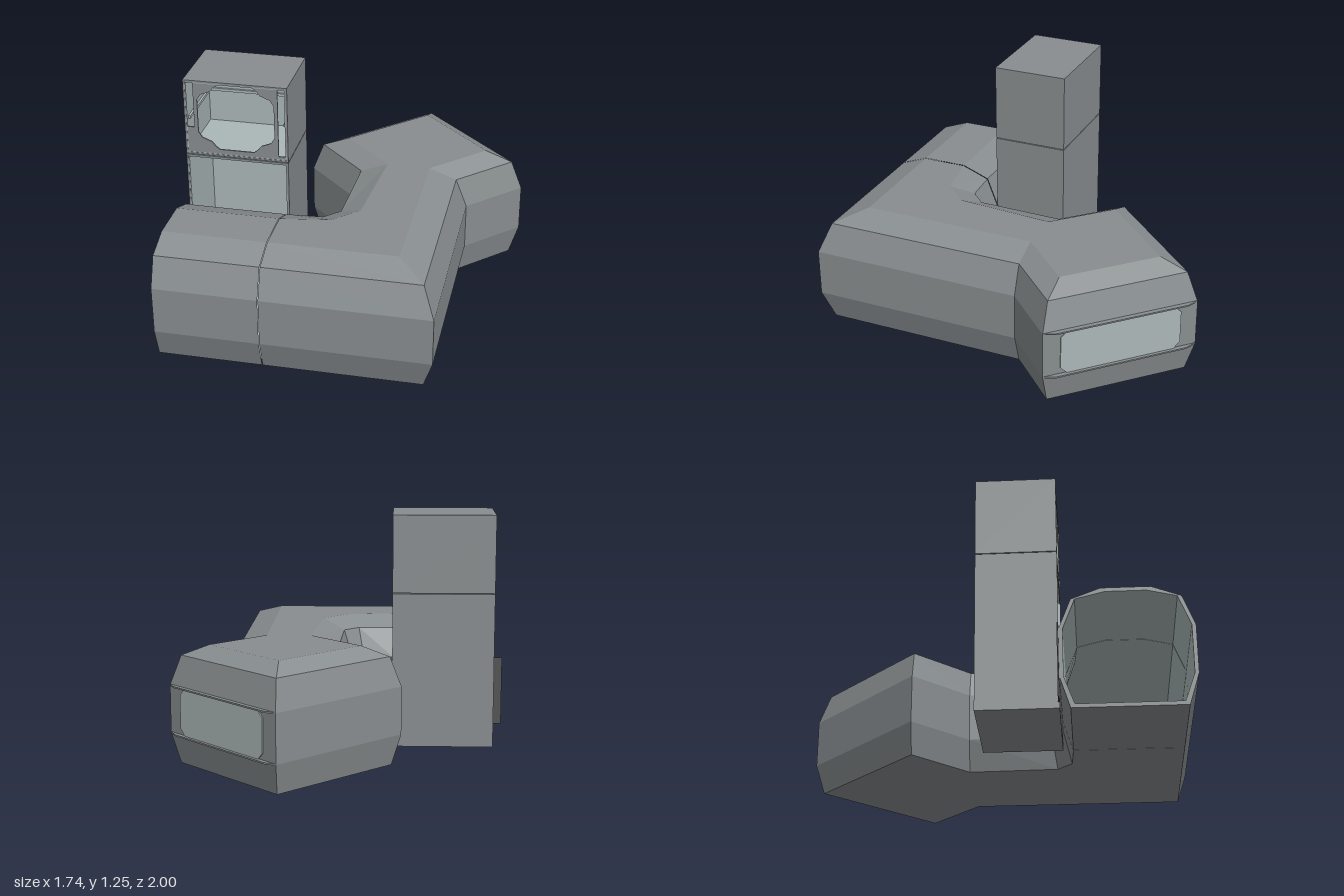
import * as THREE from 'three';

const mat = (name, color) => Object.assign(new THREE.MeshStandardMaterial({ color }), { name });

export function createModel() {
  const hull = mat('hull grey', 0x888d8f);
  const lining = mat('pale lining', 0xabb7b7);
  const dark = mat('dark panel', 0x545353);
  const root = new THREE.Group();
  root.name = 'corridorModule';

  const add = (parent, name, geometry, material, x = 0, y = 0, z = 0) => {
    const mesh = new THREE.Mesh(geometry, material);
    mesh.name = name;
    mesh.position.set(x, y, z);
    parent.add(mesh);
    return mesh;
  };
  const box = (parent, name, [w, h, d], [x, y, z], material) =>
    add(parent, name, new THREE.BoxGeometry(w, h, d), material, x, y, z);

  // Half profile of the corridor: inset from the side, height
  const PROFILE = [[0.05, 0], [0, 0.16], [0, 0.41], [0.06, 0.565], [0.205, 0.62]];

  // Cross-section between two plan points, each [x, z, inward x, inward z]
  const section = (a, b, t = 0) => {
    const side = ([x, z, dx, dz]) => PROFILE.map(([inset, h]) => new THREE.Vector3(
      x + dx * (inset + t), h === 0 ? t : h === 0.62 ? h - t : h, z + dz * (inset + t)));
    return [...side(a), ...side(b).reverse()];
  };

  // Flat-faced skin through closed sections
  const loft = (sections) => {
    const out = [];
    const tri = (a, b, c) => {
      const n = b.clone().sub(a).cross(c.clone().sub(a));
      if (n.length() > 1e-7) [a, b, c].forEach((p) => out.push(p.x, p.y, p.z));
    };
    for (let s = 0; s < sections.length - 1; s++) {
      const p = sections[s], q = sections[s + 1];
      for (let i = 0; i < p.length; i++) {
        const j = (i + 1) % p.length;
        tri(p[i], p[j], q[j]);
        tri(p[i], q[j], q[i]);
      }
    }
    const g = new THREE.BufferGeometry();
    g.setAttribute('position', new THREE.Float32BufferAttribute(out, 3));
    g.computeVertexNormals();
    return g;
  };

  const corridor = (name, stations) => {
    const g = new THREE.Group();
    g.name = name;
    const outer = stations.map(([a, b]) => section(a, b));
    const inner = stations.map(([a, b]) => section(a, b, 0.02));
    add(g, name + 'Shell', loft(outer), hull);
    add(g, name + 'Lining', loft(inner.slice().reverse()), lining);
    add(g, name + 'Rim', loft([inner[0], outer[0]]), hull);
    root.add(g);
  };

  const across = (x) => [[x, 0.35, 0, 1], [x, 1, 0, -1]];
  corridor('straightCorridor', [across(-0.8), across(-0.263)]);

  // Bend with a cut inner corner, then the neck and diamond-shaped end room
  const outerCorner = [0.6, 1, -1, -1];
  corridor('bendAndEndRoom', [
    across(-0.26),
    [[-0.1, 0.35, 0.48, 0.8], outerCorner],
    [[-0.04, 0.29, 0.8, 0.48], outerCorner],
    [[-0.04, -0.14, 1, 0], [0.6, -0.14, -1, 0]],
    [[-0.31, -0.41, 1, 0], [0.87, -0.41, -1, 0]],
    [[0.28, -1, 0, 1], [0.28, -1, 0, 1]],
  ]);

  const shapeOf = (pts) => new THREE.Shape(pts.map(([x, y]) => new THREE.Vector2(x, y)));
  const extrude = (shape, depth) => new THREE.ExtrudeGeometry(shape, { depth, bevelEnabled: false });

  // Window on the slanted back wall of the end room
  const win = new THREE.Group();
  win.name = 'endRoomWindow';
  win.position.set(0.575, 0.285, -0.705);
  win.rotation.y = Math.PI * 0.75;
  root.add(win);
  const w = 0.325, h = 0.122, c = 0.035;
  add(win, 'windowPane', extrude(shapeOf([[-w, -h + c], [-w + c, -h], [w - c, -h], [w, -h + c],
    [w, h - c], [w - c, h], [-w + c, h], [-w, h - c]]), 0.006), lining, 0, 0, 0.001);
  for (const y of [-0.125, 0.125]) {
    const ledge = extrude(shapeOf([[-0.417, 0], [0.417, 0], [0.355, -0.024], [-0.355, -0.024]]), 0.008);
    ledge.rotateX(-Math.PI / 2);
    add(win, 'windowLedge', ledge, hull, 0, y - 0.004, 0);
  }

  // Open-fronted cabin: outer walls with a pale inner skin
  const X = -0.53, Z = 0.15, W = 0.54, D = 0.4, T = 0.01, L = 0.004;
  const cabin = (name, y0, y1) => {
    const g = new THREE.Group();
    g.name = name;
    root.add(g);
    const H = y1 - y0, Y = (y0 + y1) / 2;
    const layer = (part, m, inset, t) => {
      const ww = W - 2 * inset, hh = H - 2 * inset, dd = D - inset - (inset ? 0.002 : 0);
      const zz = Z + (inset ? (inset - 0.002) / 2 : 0);
      for (const s of [-1, 1]) {
        box(g, part + 'Side', [t, hh, dd], [X + s * (ww - t) / 2, Y, zz], m);
        box(g, part + (s < 0 ? 'Floor' : 'Roof'), [ww - 2 * t, t, dd], [X, Y + s * (hh - t) / 2, zz], m);
      }
      box(g, part + 'Back', [ww - 2 * t, hh - 2 * t, t], [X, Y, Z - D / 2 + inset + t / 2], m);
    };
    layer('wall', hull, 0, T);
    layer('lining', lining, T, L);
    return g;
  };
  cabin('lowerCabin', 0, 0.828);
  const upper = cabin('upperCabin', 0.832, 1.245);

  // Front panel with a notched porthole and two side slots
  const rect = (x0, y0, x1, y1) => shapeOf([[x0, y0], [x1, y0], [x1, y1], [x0, y1]]);
  const quarter = [[0.2, 0.09], [0.18, 0.12], [0.13, 0.14], [0.11, 0.165], [0.09, 0.18]];
  const flip = (sx, sy) => quarter.map(([x, y]) => [X + sx * x, 1.05 + sy * y]);
  const panel = rect(-0.79, 0.842, -0.27, 1.235);
  panel.holes.push(
    shapeOf([...flip(1, 1), ...flip(-1, 1).reverse(), ...flip(-1, -1), ...flip(1, -1).reverse()]),
    rect(-0.786, 0.985, -0.75, 1.23),
    rect(-0.31, 0.86, -0.275, 1.23));
  add(upper, 'portholePanel', extrude(panel, 0.008), hull, 0, 0, 0.34);

  // Rail around the inside of the upper cabin
  box(upper, 'backRail', [0.51, 0.015, 0.012], [X, 1.03, -0.03], lining);
  for (const s of [-1, 1]) box(upper, 'sideRail', [0.012, 0.015, 0.36], [X + s * 0.25, 1.03, Z], lining);

  // Sliding door between cabin and corridor
  box(root, 'slidingDoor', [0.68, 0.38, 0.006], [X, 0.22, 0.346], dark);

  return root;
}
